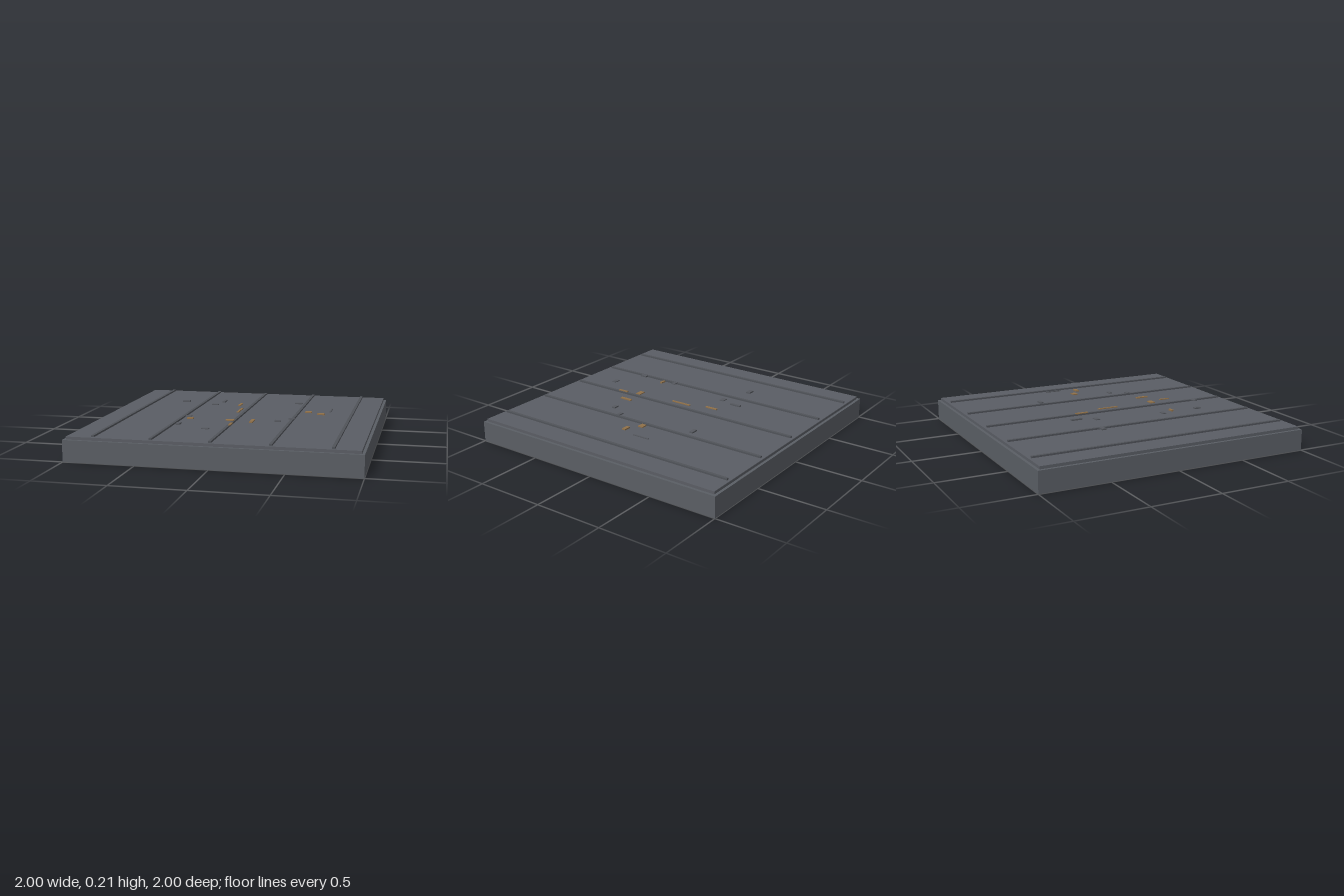
import * as THREE from 'three';

export function createModel() {
  const model = new THREE.Group();
  model.name = 'floorTile';

  const material = (name, color) => {
    const m = new THREE.MeshStandardMaterial({ color });
    m.name = name;
    return m;
  };
  const slabGrey = material('slab grey', 0x5a5e64);
  const plateGrey = material('plate grey', 0x5a5d64);
  const ribGrey = material('rib grey', 0x505359);
  const rubbleGrey = material('rubble grey', 0x55585e);
  const rust = material('rust brown', 0x8f7049);

  // Box standing on height y
  const box = (name, mat, w, h, d, x, y, z) => {
    const mesh = new THREE.Mesh(new THREE.BoxGeometry(w, h, d), mat);
    mesh.name = name;
    mesh.position.set(x, y + h / 2, z);
    model.add(mesh);
  };

  // Slab with a slightly smaller plate on top
  box('slab', slabGrey, 2, 0.15, 2, 0, 0, 0);
  box('topPlate', plateGrey, 1.96, 0.02, 1.96, 0, 0.15, 0);

  // Raised seams running front to back
  for (let i = -2; i <= 2; i++) box('seam', ribGrey, 0.02, 0.012, 1.92, i * 0.4, 0.17, 0);

  // Small debris chips floating above the plate: x, z, width, depth, height
  const chips = (name, mat, list) => list.forEach(([x, z, w, d, h]) => box(name, mat, w, h, d, x, 0.2, z));
  chips('greyChip', rubbleGrey, [
    [-0.508, -0.312, 0.055, 0.033, 0.01],
    [-0.214, -0.368, 0.021, 0.083, 0.01],
    [-0.258, -0.233, 0.05, 0.035, 0.006],
    [0.365, -0.395, 0.056, 0.027, 0.01],
    [0.648, -0.16, 0.011, 0.125, 0.006],
    [0.413, 0.215, 0.045, 0.027, 0.006],
    [0.33, 0.328, 0.04, 0.028, 0.01],
    [-0.33, 0.27, 0.045, 0.03, 0.006],
    [-0.324, 0.562, 0.029, 0.05, 0.01],
    [-0.102, 0.675, 0.05, 0.032, 0.006],
  ]);
  chips('rustChip', rust, [
    [-0.065, -0.257, 0.02, 0.095, 0.006],
    [-0.017, -0.02, 0.016, 0.16, 0.006],
    [0.494, -0.052, 0.047, 0.038, 0.008],
    [0.594, 0.012, 0.054, 0.027, 0.01],
    [0.155, 0.363, 0.022, 0.095, 0.008],
    [-0.006, 0.355, 0.059, 0.038, 0.006],
    [0.03, 0.49, 0.016, 0.08, 0.006],
    [-0.294, 0.358, 0.044, 0.018, 0.01],
  ]);

  return model;
}
